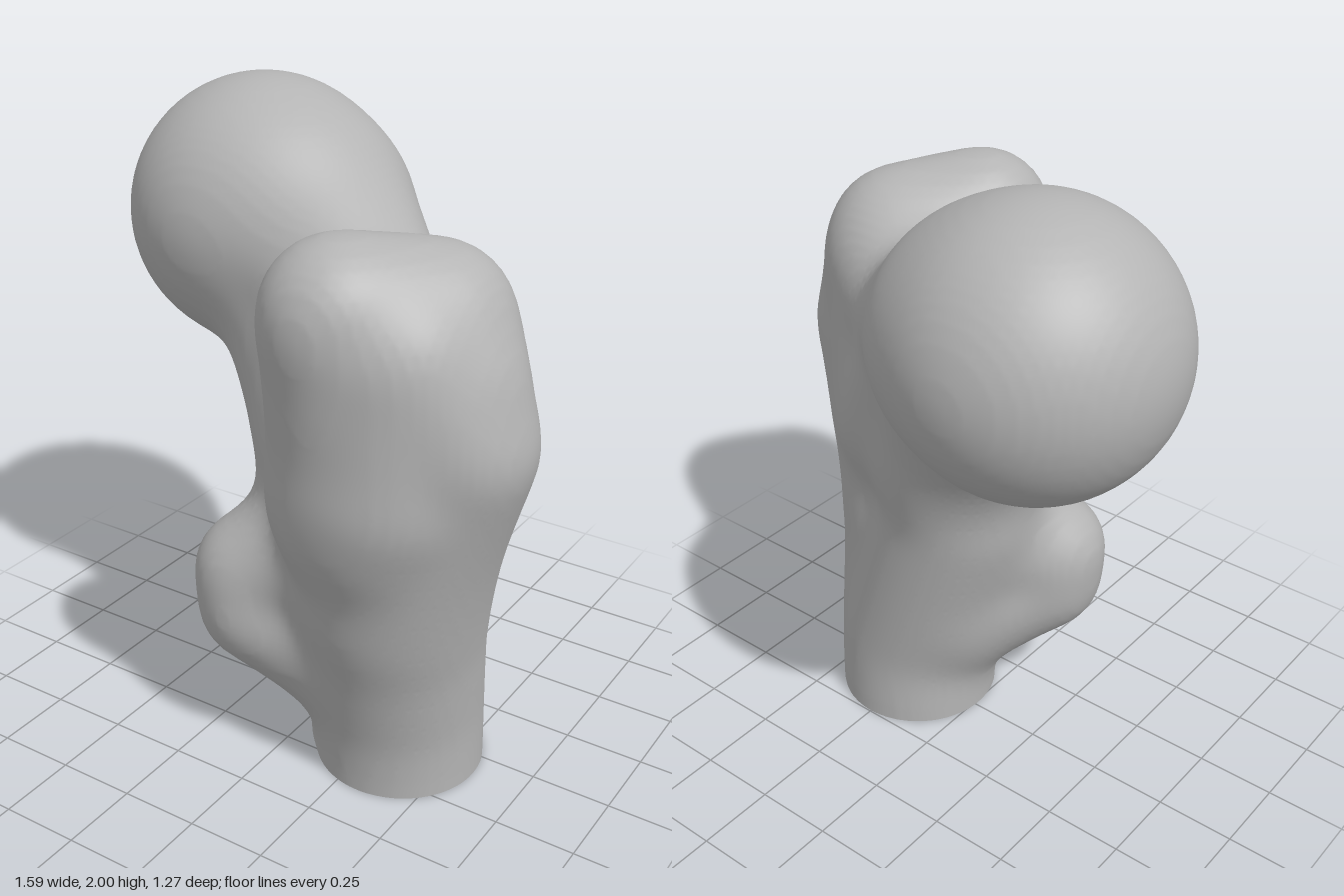
import * as THREE from 'three';

// Each part is made of chains of tapering round limbs: [x, y, z, radius] per joint.
const PARTS = {
  shaft: [
    [[0.256, -0.3, -0.005, 0.264], [0.25, 0.2, 0.025, 0.264], [0.05, 0.8, 0.01, 0.25], [0.07, 1.0, 0.005, 0.262]],
    [[0.322, -0.3, 0.07, 0.264], [0.325, 0.2, 0.1, 0.266], [0.35, 0.75, 0.21, 0.285], [0.34, 1.0, 0.26, 0.315]],
    [[0.256, -0.3, -0.005, 0.264], [0.322, -0.3, 0.07, 0.264]],
  ],
  head: [[[-0.38, 1.58, -0.213, 0.424], [-0.375, 1.58, -0.21, 0.424]]],
  neck: [
    [[-0.2, 1.55, -0.15, 0.31], [0.07, 1.0, 0.02, 0.27]],
    [[0.05, 1.35, -0.02, 0.28], [0.25, 1.05, 0.08, 0.28]],
    [[-0.2, 1.55, -0.18, 0.355], [0.2, 1.37, 0.05, 0.24], [0.42, 1.45, 0.15, 0.215], [0.3, 1.0, 0.1, 0.275]],
  ],
  greaterTrochanter: [
    [[0.34, 1.0, 0.26, 0.315], [0.295, 1.57, 0.42, 0.22], [0.47, 1.525, 0.22, 0.225],
      [0.55, 1.38, 0.25, 0.21], [0.565, 1.2, 0.25, 0.235], [0.34, 0.65, 0.19, 0.27]],
    [[0.295, 1.52, 0.42, 0.22], [0.565, 1.2, 0.25, 0.235]],
    [[0.55, 1.22, 0.26, 0.24], [0.42, 1.45, 0.33, 0.26], [0.39, 1.1, 0.3, 0.3]],
  ],
  lesserTrochanter: [
    [[-0.13, 0.59, 0.24, 0.187], [-0.11, 0.47, 0.24, 0.195], [0.1, 0.38, 0.12, 0.26]],
    [[-0.13, 0.59, 0.24, 0.187], [0.1, 0.7, 0.12, 0.25]],
  ],
};
const FOSSA = [[0.07, 1.62, 0.29, 0.085], [0.07, 1.42, 0.3, 0.075]];
const NAMES = Object.keys(PARTS);

// Distance to one tapering limb
function limb(p, a, b) {
  let dot = 0, len = 0;
  for (let i = 0; i < 3; i++) {
    const e = b[i] - a[i];
    dot += (p[i] - a[i]) * e;
    len += e * e;
  }
  const t = Math.min(1, Math.max(0, dot / len));
  const at = (i) => a[i] + (b[i] - a[i]) * t;
  return Math.hypot(p[0] - at(0), p[1] - at(1), p[2] - at(2)) - at(3);
}

function partDistance(p, name) {
  let d = Infinity;
  for (const chain of PARTS[name])
    for (let i = 1; i < chain.length; i++) d = Math.min(d, limb(p, chain[i - 1], chain[i]));
  return d;
}

// Union with a soft fillet of size k
function blend(a, b, k) {
  const h = Math.max(k - Math.abs(a - b), 0) / k;
  return Math.min(a, b) - h * h * k * 0.25;
}

// All parts flowing together, with the hollow between neck and trochanter
function bone(p) {
  const d = NAMES.map((name) => partDistance(p, name)).reduce((a, b) => blend(a, b, 0.08));
  return -blend(-d, limb(p, FOSSA[0], FOSSA[1]), 0.08);
}

export function createModel() {
  const step = 0.025, low = [-0.9, 0, -0.75], size = [73, 85, 61];
  const stride = [1, size[0], size[0] * size[1]];
  let field = new Float32Array(size[0] * size[1] * size[2]);
  const cellVertex = new Int32Array(field.length).fill(-1);
  const each = (fn) => {
    for (let k = 0; k < size[2]; k++)
      for (let j = 0; j < size[1]; j++)
        for (let i = 0; i < size[0]; i++) fn([i, j, k], i + j * stride[1] + k * stride[2]);
  };
  each((g, n) => { field[n] = bone(g.map((v, a) => low[a] + v * step)); });

  // Soften the joins by averaging along each axis
  for (let pass = 0; pass < 18; pass++) {
    const a = pass % 3, soft = new Float32Array(field.length);
    each((g, n) => {
      const before = field[g[a] > 0 ? n - stride[a] : n];
      const after = field[g[a] < size[a] - 1 ? n + stride[a] : n];
      soft[n] = (before + 2 * field[n] + after) / 4;
    });
    field = soft;
  }

  // One vertex in every grid cell crossed by the surface
  const positions = [], labels = [];
  each((g, n) => {
    if (g.some((v, a) => v >= size[a] - 1)) return;
    const sum = [0, 0, 0];
    let hits = 0;
    for (let c = 0; c < 8; c++) {
      const o = [c & 1, (c >> 1) & 1, (c >> 2) & 1];
      const corner = n + o[0] + o[1] * stride[1] + o[2] * stride[2];
      const d0 = field[corner];
      for (let a = 0; a < 3; a++) {
        if (o[a]) continue;
        const d1 = field[corner + stride[a]];
        if ((d0 < 0) === (d1 < 0)) continue;
        for (let b = 0; b < 3; b++) sum[b] += o[b] + (a === b ? d0 / (d0 - d1) : 0);
        hits++;
      }
    }
    if (!hits) return;
    const p = g.map((v, a) => low[a] + (v + sum[a] / hits) * step);
    if (g[1] === 0) p[1] = 0; // straight cut at the open lower end
    cellVertex[n] = labels.length;
    positions.push(...p);
    const dist = NAMES.map((name) => partDistance(p, name));
    labels.push(dist.indexOf(Math.min(...dist)));
  });

  // Join the four cells around every crossed grid edge, sorted by part
  const indices = NAMES.map(() => []);
  each((g, n) => {
    for (let a = 0; a < 3; a++) {
      const u = (a + 1) % 3, v = (a + 2) % 3;
      if (g[a] >= size[a] - 1 || g[u] === 0 || g[v] === 0) continue;
      const inside = field[n] < 0;
      if (inside === (field[n + stride[a]] < 0)) continue;
      const quad = [n, n - stride[u], n - stride[u] - stride[v], n - stride[v]].map((c) => cellVertex[c]);
      if (quad.some((c) => c < 0)) continue;
      if (!inside) quad.reverse();
      const [A, B, C, D] = quad;
      indices[labels[A]].push(A, B, C, A, C, D);
    }
  });

  // Smooth normals over the whole bone, so the parts meet without seams
  const whole = new THREE.BufferGeometry();
  whole.setAttribute('position', new THREE.Float32BufferAttribute(positions, 3));
  whole.setIndex(indices.flat());
  whole.computeVertexNormals();
  const normals = whole.attributes.normal.array;

  const boneGrey = new THREE.MeshStandardMaterial({ color: 0xb4b4b4, side: THREE.DoubleSide });
  boneGrey.name = 'boneGrey';
  const group = new THREE.Group();
  group.name = 'upperThighBone';
  NAMES.forEach((name, i) => {
    // Keep only the vertices this part uses
    const used = new Map(), pos = [], nor = [];
    const index = indices[i].map((v) => {
      if (!used.has(v)) {
        used.set(v, used.size);
        pos.push(...positions.slice(v * 3, v * 3 + 3));
        nor.push(...normals.slice(v * 3, v * 3 + 3));
      }
      return used.get(v);
    });
    const geometry = new THREE.BufferGeometry();
    geometry.setAttribute('position', new THREE.Float32BufferAttribute(pos, 3));
    geometry.setAttribute('normal', new THREE.Float32BufferAttribute(nor, 3));
    geometry.setIndex(index);
    const mesh = new THREE.Mesh(geometry, boneGrey);
    mesh.name = name;
    group.add(mesh);
  });
  return group;
}
